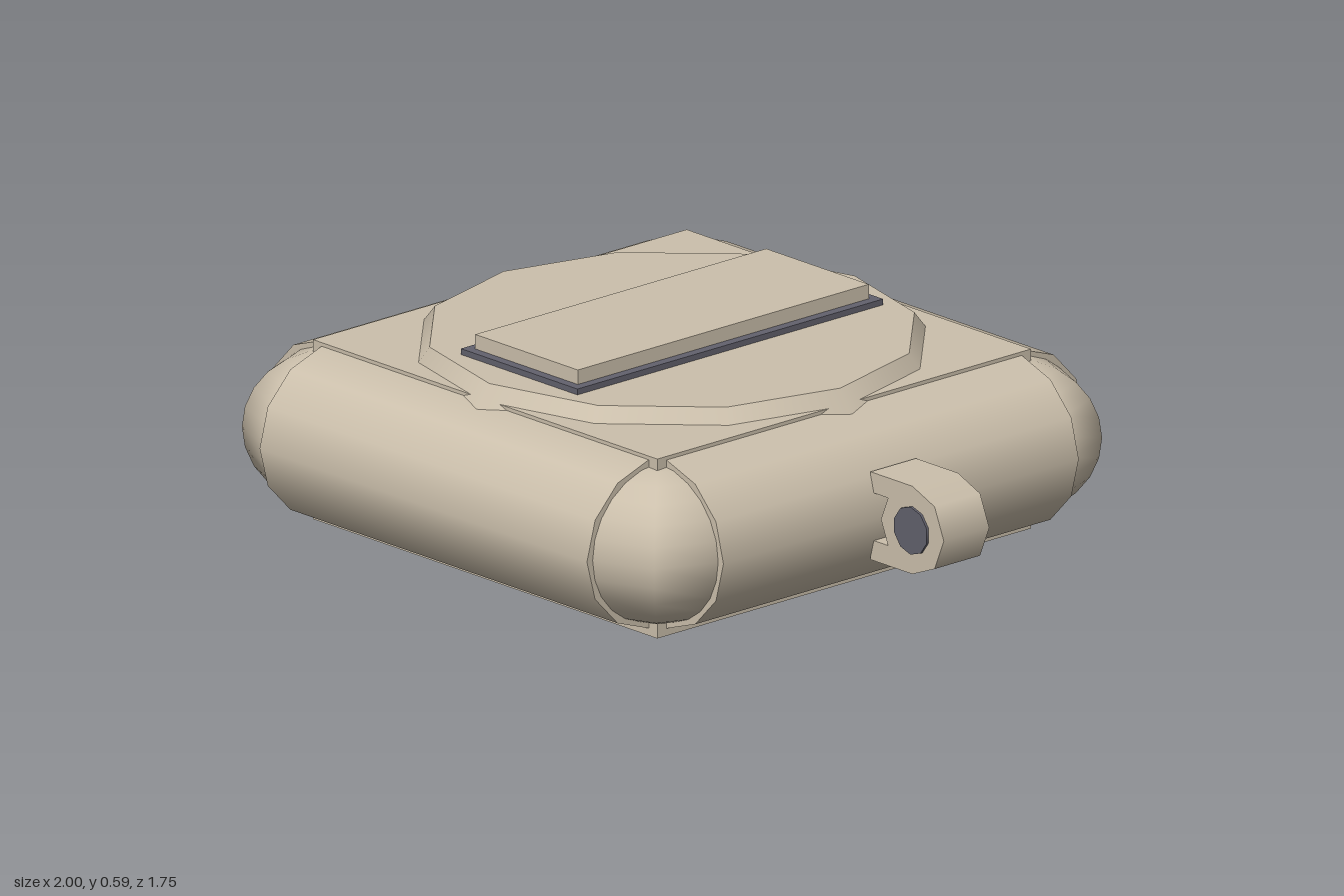
import * as THREE from 'three';

export function createModel() {
  const model = new THREE.Group();
  const tan = new THREE.MeshStandardMaterial({ color: 0xccc0ac });
  tan.name = 'tan casing';
  const slate = new THREE.MeshStandardMaterial({ color: 0x62616d });
  slate.name = 'slate trim';

  const cx = -0.125; // casing centre; the lug sticks out on the +x side
  const half = 0.625; // distance from centre to the rounded edges
  const midY = 0.25;

  function add(name, geometry, material, x, y, z, parent = model) {
    const mesh = new THREE.Mesh(geometry, material);
    mesh.name = name;
    mesh.position.set(x, y, z);
    parent.add(mesh);
    return mesh;
  }

  // Casing: core block, four rounded edges and four ball corners
  const casing = new THREE.Group();
  casing.name = 'casing';
  casing.position.set(cx, 0, 0);
  model.add(casing);
  add('coreBlock', new THREE.BoxGeometry(1.315, 0.49, 1.315), tan, 0, 0.245, 0, casing);

  const edge = new THREE.CylinderGeometry(0.25, 0.25, half * 2, 13, 1, false, Math.PI / 2);
  edge.rotateX(Math.PI / 2);
  edge.scale(1, 0.93, 1);
  const corner = new THREE.SphereGeometry(0.23, 8, 12);
  corner.scale(1, 0.93, 1);
  ['leftEdge', 'backEdge', 'rightEdge', 'frontEdge'].forEach((name, i) => {
    const a = (i * Math.PI) / 2;
    const bar = add(name, edge, tan, half * Math.cos(a), midY, -half * Math.sin(a), casing);
    bar.rotation.y = a;
  });
  for (const sx of [-1, 1]) {
    for (const sz of [-1, 1]) {
      add('cornerBall', corner, tan, sx * half, midY, sz * half, casing);
    }
  }

  // Twelve-sided bevelled disc on top
  add('topDisc', new THREE.CylinderGeometry(0.643, 0.687, 0.06, 12), tan, cx, 0.5, 0);

  // Raised plate with a dark rim beneath it
  add('plateRim', new THREE.BoxGeometry(0.445, 0.03, 1.076), slate, cx, 0.531, 0);
  add('raisedPlate', new THREE.BoxGeometry(0.392, 0.045, 1.024), tan, cx, 0.563, 0);

  // Side lug: octagonal eye, two arms and a pin
  const lug = new THREE.Group();
  lug.name = 'lug';
  lug.position.set(0.88, midY, 0);
  model.add(lug);
  const eye = new THREE.CylinderGeometry(0.12, 0.12, 0.16, 8);
  eye.rotateX(Math.PI / 2);
  add('lugEye', eye, tan, 0, 0, 0, lug);
  for (const s of [-1, 1]) {
    add('lugArm', new THREE.BoxGeometry(0.16, 0.055, 0.16), tan, -0.08, s * 0.0925, 0, lug);
  }
  const pin = new THREE.CylinderGeometry(0.065, 0.065, 0.174, 10);
  pin.rotateX(Math.PI / 2);
  add('lugPin', pin, slate, 0, 0, 0, lug);

  return model;
}
